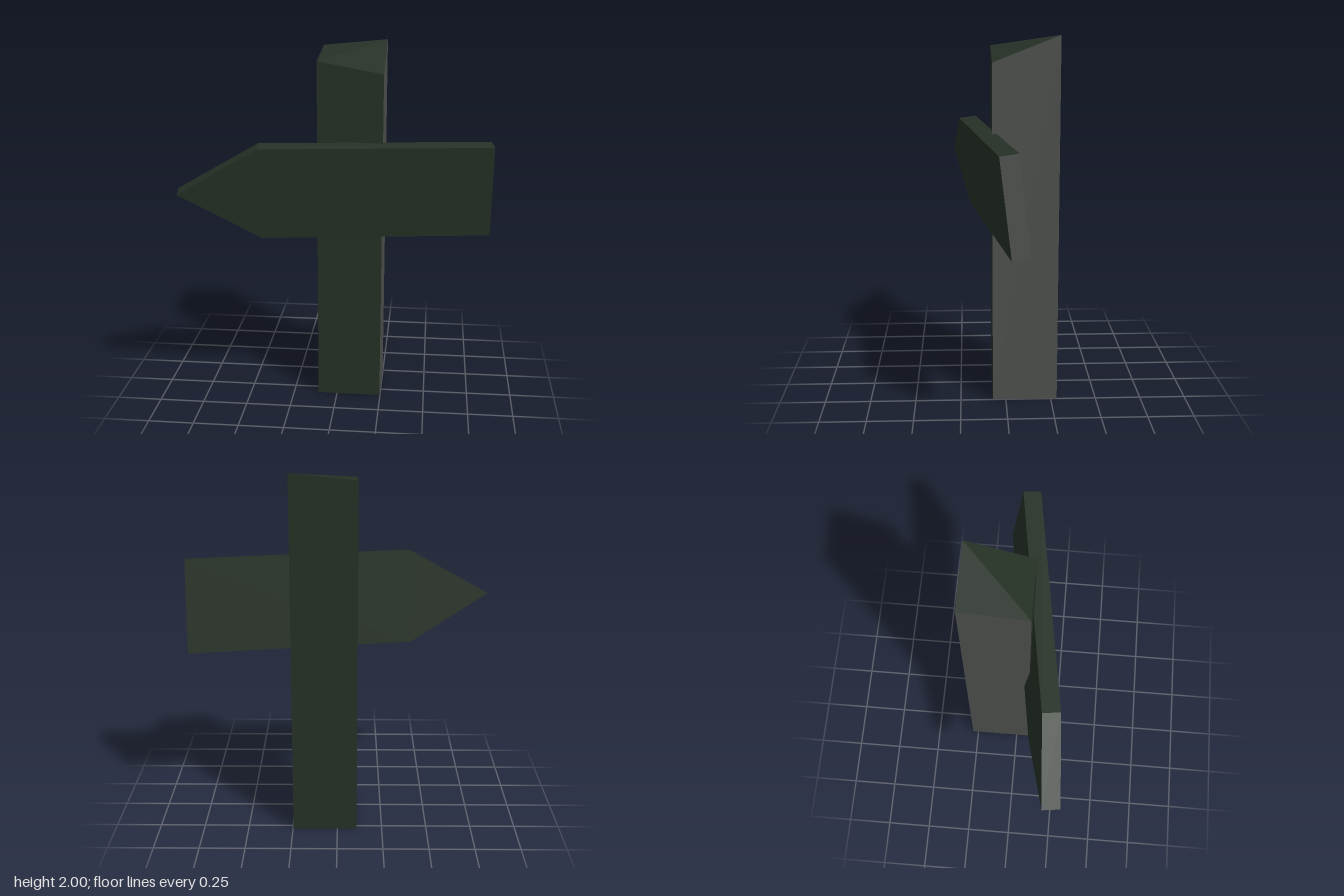
import * as THREE from 'three';

const green = new THREE.MeshStandardMaterial({ color: 0x263126 });
green.name = 'dark green wood';
const grey = new THREE.MeshStandardMaterial({ color: 0x4d504d });
grey.name = 'grey wood';

// Flat-shaded mesh whose faces pointing along local x are grey, all others green
function woodMesh(name, source) {
  const geometry = source.index ? source.toNonIndexed() : source;
  geometry.computeVertexNormals();
  geometry.clearGroups();
  const normal = geometry.attributes.normal;
  for (let i = 0; i < normal.count; i += 3) {
    geometry.addGroup(i, 3, Math.abs(normal.getX(i)) > 0.9 ? 1 : 0);
  }
  const mesh = new THREE.Mesh(geometry, [green, grey]);
  mesh.name = name;
  return mesh;
}

// Square post with a crooked, slanting cut at the top
function makePost() {
  const x0 = -0.108, x1 = 0.247, z0 = -0.284, z1 = 0.072;
  const geometry = new THREE.BoxGeometry(x1 - x0, 2, z1 - z0);
  geometry.translate((x0 + x1) / 2, 1, (z0 + z1) / 2);
  const p = geometry.attributes.position;
  for (let i = 0; i < p.count; i++) {
    if (p.getY(i) < 1) continue;
    const right = p.getX(i) > 0, front = p.getZ(i) > 0;
    p.setY(i, front ? (right ? 1.86 : 1.925) : (right ? 2 : 1.965));
  }
  return woodMesh('post', geometry);
}

// Pointed board, turned and leaning forward on the post
function makeSign() {
  const outline = new THREE.Shape([
    [-1.247, -0.256], [0.004, -0.256], [-0.005, 0.256], [-1.262, 0.256], [-1.695, 0.003],
  ].map(([x, y]) => new THREE.Vector2(x, y)));
  const depth = 0.097;
  const geometry = new THREE.ExtrudeGeometry(outline, { depth, bevelEnabled: false });
  geometry.translate(0, 0, -depth);
  const sign = woodMesh('arrowSign', geometry);
  sign.rotation.set(0.118, 0.153, -0.006, 'YXZ');
  sign.position.set(0.84, 1.224, 0.025);
  return sign;
}

export function createModel() {
  const model = new THREE.Group();
  model.name = 'signpost';
  model.add(makePost(), makeSign());
  return model;
}
